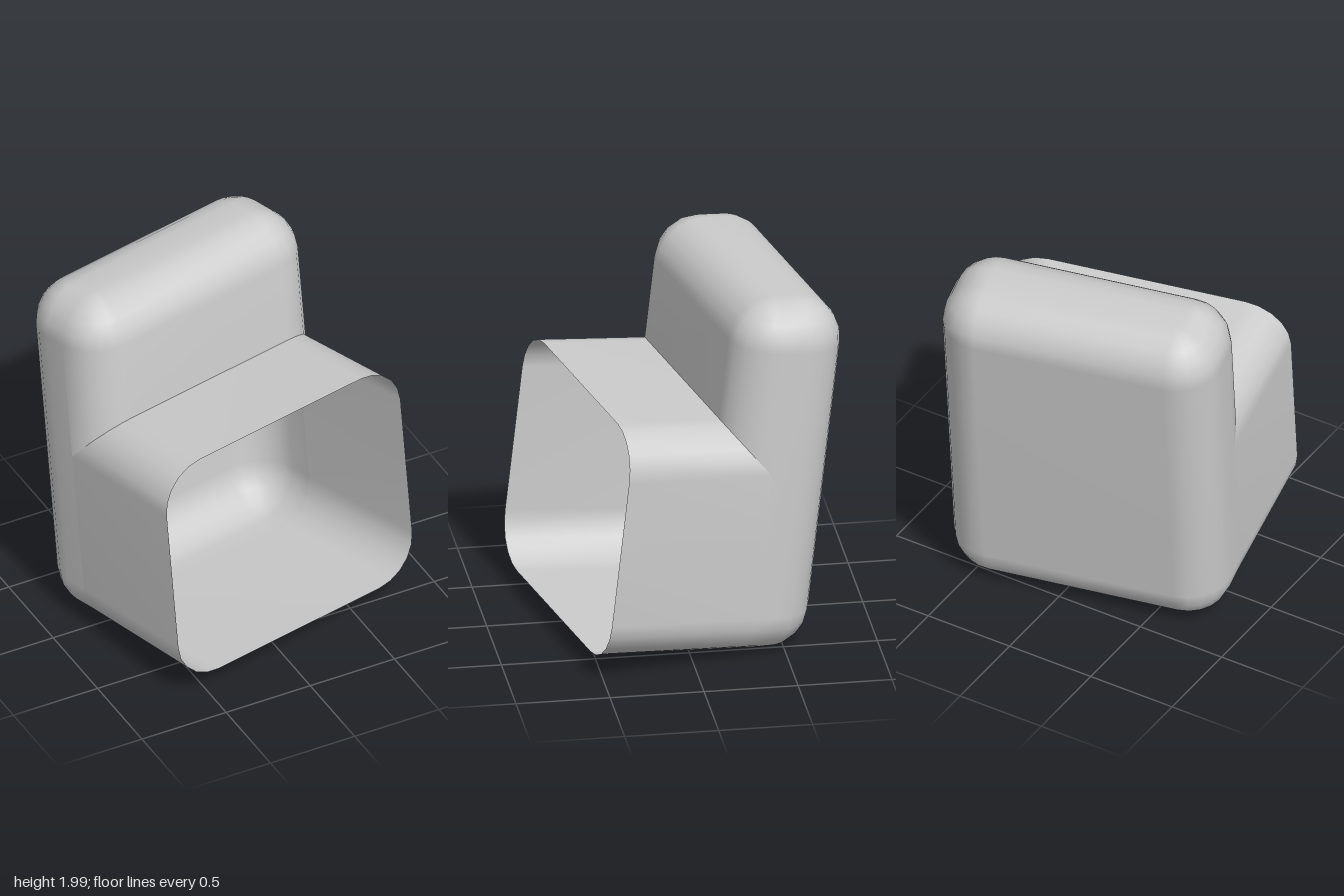
import * as THREE from 'three';
import { mergeGeometries, mergeVertices } from 'three/addons/utils/BufferGeometryUtils.js';

const R = 0.24;            // corner radius everywhere
const N = 5;               // segments per quarter corner
const HW = 0.768;          // half width
const RIM_HW = 0.797;      // half width at the open front rim
const BOTTOM = 0.04, SILL = 1.338, TOP = 2.029;   // floor, hood roof, top
const BACK = -0.515, FRONT = 0.1, RIM = 0.68;     // depths
const SEAM = FRONT - R;    // where the rounded front corners begin

// Skin a list of equally long rows of [x, y, z] points
function skin(rows) {
  const cols = rows[0].length, index = [];
  for (let i = 0; i + 1 < rows.length; i++) {
    for (let j = 0; j + 1 < cols; j++) {
      const a = i * cols + j, d = a + cols;
      index.push(a, a + 1, d + 1, a, d + 1, d);
    }
  }
  const geometry = new THREE.BufferGeometry();
  geometry.setAttribute('position', new THREE.Float32BufferAttribute(rows.flat(2), 3));
  geometry.setIndex(index);
  return geometry;
}

function smooth(geometry) {
  const merged = mergeVertices(geometry, 1e-4);
  merged.computeVertexNormals();
  return merged;
}

// Quarter arc as [cos, sin] pairs, starting at the given quadrant
const arc = (quadrant) => Array.from({ length: N + 1 }, (_, i) => {
  const t = (quadrant + i / N) * Math.PI / 2;
  return [Math.cos(t), Math.sin(t)];
});

// Distance lost to the rounding at a given x
const drop = (x) => {
  const d = Math.max(0, Math.abs(x) - (HW - R));
  return R - Math.sqrt(Math.max(0, R * R - d * d));
};

// Plan outlines: corner centre plus outward direction
const corner = (sx, z, quadrant) => arc(quadrant).map(([c, s]) => ({ cx: sx * (HW - R), cz: z, c, s: -s }));
const backPlan = [...corner(1, BACK + R, 0), ...corner(-1, BACK + R, 1)];
backPlan.unshift({ cx: HW - R, cz: SEAM, c: 1, s: 0 });
backPlan.push({ cx: -(HW - R), cz: SEAM, c: -1, s: 0 });
const frontPlan = [...corner(-1, SEAM, 2), ...corner(1, SEAM, 3)];
const ring = (plan, r, y) => plan.map((p) => [p.cx + r * p.c, y, p.cz + r * p.s]);

function buildBlock() {
  const topRows = (plan) => arc(0).map(([c, s]) => ring(plan, R * c, TOP - R + R * s));
  const cap = (y) => backPlan.map((p) => [p.cx, y, SEAM]);
  // Back, sides, floor and top
  const back = skin([
    cap(BOTTOM),
    ...arc(-1).map(([c, s]) => ring(backPlan, R * c, BOTTOM + R + R * s)),
    ...topRows(backPlan),
    cap(TOP),
  ]);
  // Front face above the hood, its lower edge following the hood roof
  const lowerEdge = ring(frontPlan, R, 0).map(([x, , z]) => [x, SILL - drop(x), z]);
  const front = skin([lowerEdge, ...topRows(frontPlan)]);
  return smooth(mergeGeometries([back, front]));
}

function buildHood() {
  // Rounded rectangle section, counter-clockwise from the middle of a side
  const mid = (BOTTOM + SILL) / 2;
  const section = [[HW, mid]];
  const centres = [[1, SILL - R], [-1, SILL - R], [-1, BOTTOM + R], [1, BOTTOM + R]];
  centres.forEach(([sx, cy], q) => {
    for (const [c, s] of arc(q)) section.push([sx * (HW - R) + R * c, cy + R * s]);
  });
  section.push([HW, mid]);
  // The upper half starts on the block's rounded front, the lower half on the seam
  const start = section.map(([x, y]) => [x, y, y > mid ? FRONT - drop(x) : SEAM]);
  const rim = section.map(([x, y]) => [x * RIM_HW / HW, y, RIM]);
  return smooth(skin([start, rim]));
}

export function createModel() {
  const material = new THREE.MeshStandardMaterial({ color: 0xcccccc, side: THREE.DoubleSide });
  const model = new THREE.Group();
  model.name = 'hoodedShell';

  // The whole shell leans back and is turned a little
  const shell = new THREE.Group();
  shell.name = 'tiltedShell';
  shell.rotation.set(-0.118, 0.206, 0, 'YXZ');

  const parts = { tallBackBlock: buildBlock(), openFrontHood: buildHood() };
  for (const [name, geometry] of Object.entries(parts)) {
    const mesh = new THREE.Mesh(geometry, material);
    mesh.name = name;
    mesh.position.x = -0.028;
    shell.add(mesh);
  }
  model.add(shell);
  return model;
}
